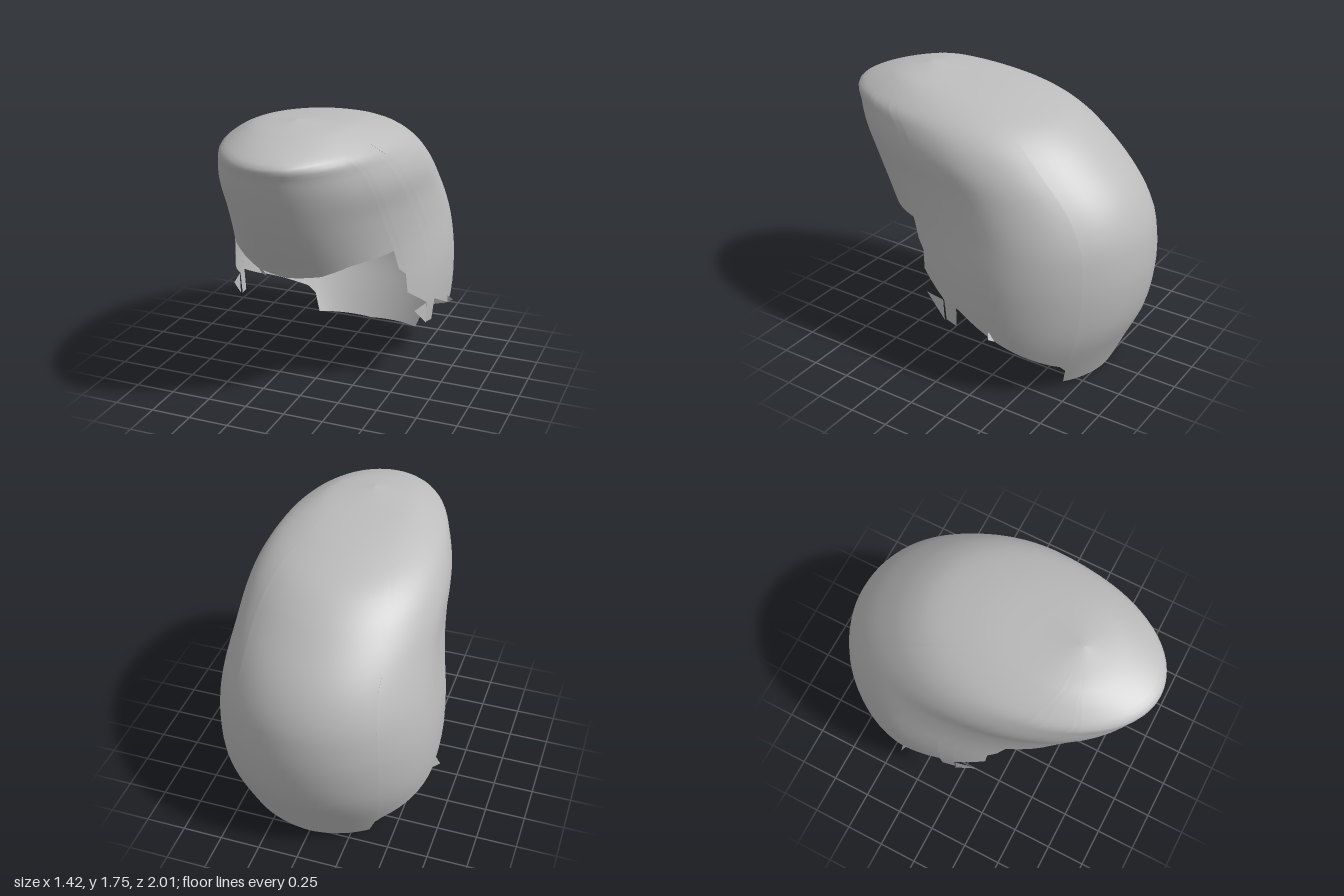
import * as THREE from 'three';
import { mergeVertices } from 'three/addons/utils/BufferGeometryUtils.js';

// Horizontal slices: height, front z, back z, z of widest point, half width
const SLICES = [
  [0, 0.66, -0.77, -0.35, 0.52],
  [0.2, 0.68, -0.86, -0.35, 0.62],
  [0.4, 0.68, -0.95, -0.35, 0.67],
  [0.7, 0.66, -1.0, -0.35, 0.68],
  [0.85, 0.68, -0.995, -0.35, 0.665],
  [1.0, 0.765, -0.97, -0.33, 0.64],
  [1.2, 0.87, -0.87, -0.2, 0.61],
  [1.4, 0.95, -0.68, 0, 0.59],
  [1.52, 0.985, -0.53, 0.12, 0.545],
  [1.6, 1.0, -0.38, 0.25, 0.485],
  [1.65, 0.91, -0.2, 0.32, 0.41],
  [1.69, 0.8, 0, 0.4, 0.33],
  [1.72, 0.69, 0.26, 0.46, 0.24],
  [1.75, 0.52, 0.5, 0.51, 0],
];
const TOP = 1.75;

// Lower rim from the fringe to the nape, as [z, y]
const RIM = [
  [0.68, 0.85], [0.64, 0.87], [0.55, 0.93], [0.3, 0.955], [0.29, 0.83],
  [0.2, 0.78], [0.19, 0.66], [0.0, 0.53], [-0.005, 0.39], [-0.09, 0.38],
  [-0.095, 0.52], [-0.34, 0.4], [-0.7, 0.2], [-0.71, 0.15],
  [-0.62, 0.03], [-0.77, 0],
];

const interpolant = new THREE.CubicInterpolant(
  SLICES.map((s) => s[0]), SLICES.flatMap((s) => s.slice(1)), 4, new Float32Array(4));

function slice(y) {
  const [front, back, mid, width] = interpolant.evaluate(THREE.MathUtils.clamp(y, 0, TOP));
  return { front, back, mid, width };
}

// Angle runs from +90 degrees (front) to -90 degrees (back)
function surfacePoint(angle, y) {
  const s = slice(y);
  const c = Math.max(0, Math.cos(angle)), n = Math.sin(angle);
  return [s.width * c, y, s.mid + n * (n > 0 ? s.front - s.mid : s.mid - s.back)];
}

function angleAt(z, y) {
  const s = slice(y);
  const d = z - s.mid;
  return Math.asin(THREE.MathUtils.clamp(d / (d > 0 ? s.front - s.mid : s.mid - s.back), -1, 1));
}

// Columns down one side, kept in order round the head
function sideColumns() {
  let last = Math.PI / 2 + 0.01;
  const corners = RIM.map(([z, y], i) => {
    let a = angleAt(z, y);
    if (i === 0) a = Math.PI / 2;
    if (i === RIM.length - 1) a = -Math.PI / 2;
    last = Math.min(a, last - 0.006);
    return [last, y];
  });
  const columns = [];
  for (let i = 0; i < corners.length - 1; i++) {
    const [a0, y0] = corners[i], [a1, y1] = corners[i + 1];
    const steps = Math.max(1, Math.ceil((a0 - a1) / 0.09));
    for (let k = 0; k < steps; k++) {
      const t = k / steps;
      columns.push([a0 + (a1 - a0) * t, y0 + (y1 - y0) * t]);
    }
  }
  columns.push(corners[corners.length - 1]);
  return columns;
}

function shellGeometry() {
  const half = sideColumns();
  const mirrored = half.slice(1, -1).reverse();
  const columns = [
    ...half.map(([a, y]) => [a, y, 1]),
    ...mirrored.map(([a, y]) => [a, y, -1]),
  ];
  const rows = 36, positions = [], index = [];
  for (const [a, rim, side] of columns) {
    for (let r = 0; r <= rows; r++) {
      const y = rim + (TOP - rim) * (1 - (1 - r / rows) ** 2);
      const [x, py, z] = surfacePoint(a, y);
      positions.push(x * side, py, z);
    }
  }
  for (let c = 0; c < columns.length; c++) {
    const p = c * (rows + 1), q = ((c + 1) % columns.length) * (rows + 1);
    for (let r = 0; r < rows; r++) {
      index.push(p + r, q + r, q + r + 1, p + r, q + r + 1, p + r + 1);
    }
  }
  const g = new THREE.BufferGeometry();
  g.setAttribute('position', new THREE.Float32BufferAttribute(positions, 3));
  g.setIndex(index);
  const merged = mergeVertices(g, 1e-5);
  merged.computeVertexNormals();
  return merged;
}

function triangle(points, side) {
  const pts = points.map(([x, y, z]) => [x * side, y, z]);
  if (side < 0) pts.reverse();
  const g = new THREE.BufferGeometry();
  g.setAttribute('position', new THREE.Float32BufferAttribute(pts.flat(), 3));
  g.computeVertexNormals();
  return g;
}

export function createModel() {
  const group = new THREE.Group();
  group.name = 'hairShell';
  const grey = new THREE.MeshStandardMaterial({ color: 0xbcbcbc, side: THREE.DoubleSide });
  const add = (name, geometry) => {
    const mesh = new THREE.Mesh(geometry, grey);
    mesh.name = name;
    group.add(mesh);
  };

  add('hair', shellGeometry());

  // Loose tufts in front of and behind each ear
  for (const side of [1, -1]) {
    const label = side > 0 ? 'left' : 'right';
    add(label + 'SideburnTip', triangle([[0.64, 0.39, 0], [0.64, 0.53, 0.01], [0.61, 0.525, 0.15]], side));
    add(label + 'EarTuft', triangle([[0.66, 0.46, -0.33], [0.63, 0.36, -0.39], [0.71, 0.415, -0.36]], side));
  }
  return group;
}
